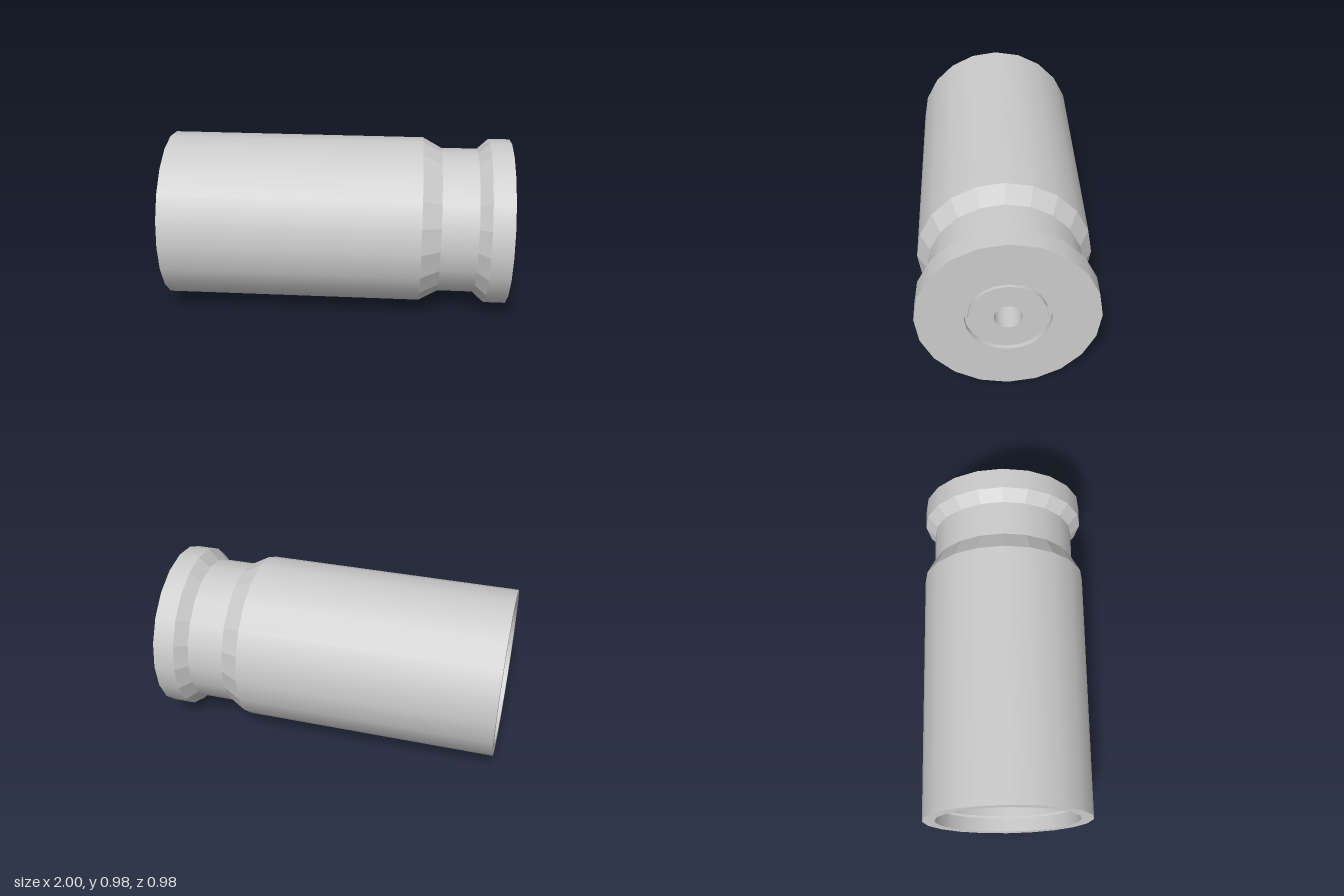
import * as THREE from 'three';

const SIDES = 20;
const RADIUS = 0.49;
const smooth = new THREE.MeshStandardMaterial({ color: 0xcccccc });
const faceted = new THREE.MeshStandardMaterial({ color: 0xcccccc, flatShading: true });

// Revolve a profile of [x, radius] points around the x axis.
// Each span is its own band, so the edges between spans stay sharp.
function revolve(name, profile) {
  const part = new THREE.Group();
  part.name = name;
  for (let i = 0; i < profile.length - 1; i++) {
    const [a, b] = [profile[i], profile[i + 1]];
    const points = [a, b].map(([x, r]) => new THREE.Vector2(r, x));
    const geometry = new THREE.LatheGeometry(points, SIDES);
    geometry.rotateZ(-Math.PI / 2);
    const isCone = a[0] !== b[0] && a[1] !== b[1];
    const band = new THREE.Mesh(geometry, isCone ? faceted : smooth);
    band.name = name + 'Band' + (i + 1);
    part.add(band);
  }
  return part;
}

export function createModel() {
  const model = new THREE.Group();
  model.name = 'cartridgeCase';

  // Outer wall, extractor groove, rim and rear face
  const shell = revolve('outerShell', [
    [-1, 0.42], [-1, RADIUS], [0.49, RADIUS], [0.6, 0.43],
    [0.81, 0.43], [0.875, RADIUS], [1, RADIUS], [1, 0.23],
  ]);

  // Pocket ring and primer disc with its central hole
  const primer = revolve('primer', [
    [1, 0.23], [0.97, 0.23], [0.97, 0.21], [0.995, 0.21], [0.995, 0.075],
  ]);

  // Hole through the base, cavity floor, bore and the rib near the mouth
  const bore = revolve('innerBore', [
    [0.995, 0.075], [0.6, 0.075], [0.6, 0.42], [-0.79, 0.42],
    [-0.79, 0.4], [-0.91, 0.4], [-0.92, 0.42], [-1, 0.42],
  ]);

  model.add(shell, primer, bore);
  model.position.y = RADIUS;

  const root = new THREE.Group();
  root.add(model);
  return root;
}
